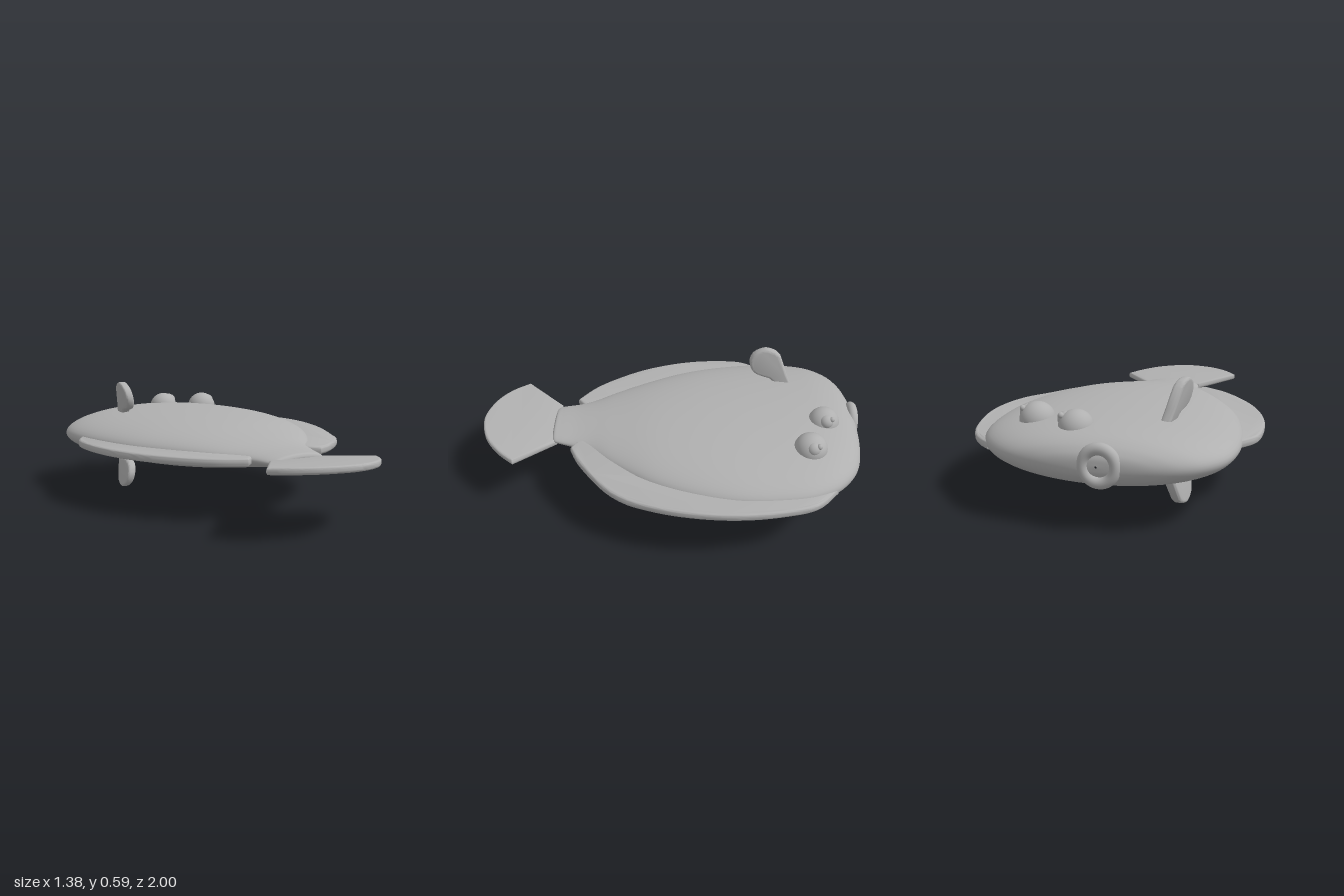
import * as THREE from 'three';
import { toCreasedNormals } from 'three/addons/utils/BufferGeometryUtils.js';

const grey = new THREE.MeshStandardMaterial({ color: 0xb0b0b0 });
grey.name = 'grey';

const MID = 0.297; // height of the body's middle plane

function add(group, name, geometry, x = 0, y = 0, z = 0) {
  const mesh = new THREE.Mesh(geometry, grey);
  mesh.name = name;
  mesh.position.set(x, y, z);
  group.add(mesh);
  return mesh;
}

// Body from elliptical cross-sections: z, left edge x, right edge x, half height
function bodyGeometry() {
  const stations = [
    [-0.988, -0.09, -0.08, 0.004], [-0.984, -0.22, 0.06, 0.035], [-0.97, -0.33, 0.19, 0.06],
    [-0.94, -0.43, 0.31, 0.087], [-0.89, -0.51, 0.4, 0.11], [-0.8, -0.58, 0.49, 0.128],
    [-0.68, -0.615, 0.55, 0.136], [-0.5, -0.622, 0.58, 0.14], [-0.3, -0.597, 0.577, 0.139],
    [-0.1, -0.545, 0.53, 0.131], [0.1, -0.455, 0.44, 0.113], [0.3, -0.345, 0.29, 0.08],
    [0.42, -0.268, 0.18, 0.058], [0.5, -0.238, 0.135, 0.045], [0.58, -0.222, 0.105, 0.036],
    [0.61, -0.21, 0.09, 0.032], [0.62, -0.18, 0.06, 0.022], [0.621, -0.06, -0.059, 0.001]];
  const edge = (i) => new THREE.CatmullRomCurve3(
    stations.map((s) => new THREE.Vector3(s[i], s[3], s[0])), false, 'centripetal');
  const left = edge(1), right = edge(2);
  const rings = 102, sides = 64, pos = [], index = [];
  for (let i = 0; i <= rings; i++) {
    const l = left.getPoint(i / rings), r = right.getPoint(i / rings);
    const cx = (l.x + r.x) / 2, w = (r.x - l.x) / 2;
    for (let j = 0; j < sides; j++) {
      const a = (j / sides) * Math.PI * 2;
      pos.push(cx + w * Math.cos(a), MID + l.y * Math.sin(a), (l.z + r.z) / 2);
      if (i < rings) {
        const k = (j + 1) % sides, p = i * sides, q = p + sides;
        index.push(p + j, p + k, q + k, p + j, q + k, q + j);
      }
    }
  }
  const g = new THREE.BufferGeometry();
  g.setAttribute('position', new THREE.Float32BufferAttribute(pos, 3));
  g.setIndex(index);
  g.computeVertexNormals();
  return g;
}

// Rounded plate: a smooth outer curve closed by straight inner points
function plate(outer, inner, thickness, bevel) {
  const v = (p) => new THREE.Vector2(p[0], p[1]);
  const curve = new THREE.SplineCurve(outer.map(v)).getPoints(40);
  return new THREE.ExtrudeGeometry(new THREE.Shape([...curve, ...inner.map(v)]), {
    depth: thickness - 2 * bevel, bevelEnabled: true, bevelThickness: bevel,
    bevelSize: bevel, bevelOffset: -bevel, bevelSegments: 4,
  }).translate(0, 0, bevel - thickness / 2);
}

// Shift vertices by a rule, then smooth all but the sharp edges
function bend(g, axis, rule) {
  const p = g.attributes.position;
  for (let i = 0; i < p.count; i++) {
    const x = p.getX(i), y = p.getY(i), z = p.getZ(i);
    if (axis === 'y') p.setY(i, y + rule(x, z));
    else p.setX(i, x + rule(y, z));
  }
  return toCreasedNormals(g, 0.6);
}

export function createModel() {
  const fish = new THREE.Group();
  fish.name = 'flatfish';
  add(fish, 'body', bodyGeometry());

  // Long fringe fins along both edges
  const leftFin = plate(
    [[0.48, -0.81], [0.6, -0.69], [0.655, -0.54], [0.685, -0.34], [0.672, -0.13], [0.615, 0.08],
      [0.5, 0.29], [0.3, 0.45], [0.17, 0.515]],
    [[0.125, 0.485], [0.1, 0.44], [0.25, 0.2], [0.4, -0.05], [0.48, -0.4]], 0.042, 0.014);
  add(fish, 'leftFringeFin', bend(leftFin.rotateX(Math.PI / 2), 'y',
    (x) => x > 0.56 ? 0.283 + 0.18 * (x - 0.56) : 0.283 + 0.05 * (0.56 - x)));
  const rightFin = plate(
    [[-0.58, -0.55], [-0.625, -0.51], [-0.68, -0.42], [-0.694, -0.29], [-0.685, -0.14], [-0.65, 0.01],
      [-0.59, 0.16], [-0.5, 0.305], [-0.4, 0.425], [-0.28, 0.515]],
    [[-0.24, 0.485], [-0.2, 0.44], [-0.3, 0.2], [-0.45, -0.1], [-0.54, -0.4]], 0.04, 0.013);
  add(fish, 'rightFringeFin', bend(rightFin.rotateX(Math.PI / 2), 'y', () => 0.295));

  // Tail fan, rising to its tip
  const tail = plate(
    [[-0.41, 0.8], [-0.33, 0.89], [-0.22, 0.96], [-0.07, 0.997], [0.08, 0.965], [0.19, 0.89], [0.267, 0.8]],
    [[0.085, 0.595], [-0.07, 0.58], [-0.225, 0.595]], 0.034, 0.012);
  add(fish, 'tail', bend(tail.rotateX(Math.PI / 2), 'y',
    (x, z) => 0.291 + 0.09 * (z - 0.6) - 0.04 * (x + 0.07)));

  // Paddle fins above and below, leaning outward
  for (const [name, flip] of [['upperPaddleFin', false], ['lowerPaddleFin', true]]) {
    const h = ([z, y]) => [z, flip ? 2 * MID - y : y];
    const g = plate(
      [[-0.55, 0.43], [-0.47, 0.453], [-0.44, 0.505], [-0.46, 0.56], [-0.52, 0.592],
        [-0.575, 0.583], [-0.605, 0.56]].map(h),
      [[-0.64, 0.47], [-0.67, 0.4], [-0.6, 0.39]].map(h), 0.048, 0.015);
    add(fish, name, bend(g.rotateY(-Math.PI / 2), 'x', (y, z) =>
      -0.305 - 0.2 * (Math.abs(y - MID) - 0.133) - 0.18 * (z + 0.65)));
  }

  // Eyes on the upper side, each with a pupil and a small glint
  for (const [name, x, y, z, r] of [['innerEye', 0.065, 0.402, -0.79, 0.08], ['outerEye', 0.283, 0.396, -0.692, 0.083]]) {
    const eye = new THREE.Group();
    eye.name = name;
    eye.position.set(x, y, z);
    add(eye, 'eyeball', new THREE.SphereGeometry(r, 32, 24));
    add(eye, 'pupil', new THREE.SphereGeometry(0.036, 24, 16), 0.046, 0.034, -0.004);
    add(eye, 'glint', new THREE.SphereGeometry(0.014, 16, 12), 0.058, 0.056, -0.03);
    fish.add(eye);
  }

  // Round lips at the nose
  const lips = add(fish, 'lips', new THREE.TorusGeometry(0.07, 0.026, 20, 48), -0.095, 0.3, -0.974);
  lips.scale.y = 1.04;
  return fish;
}
